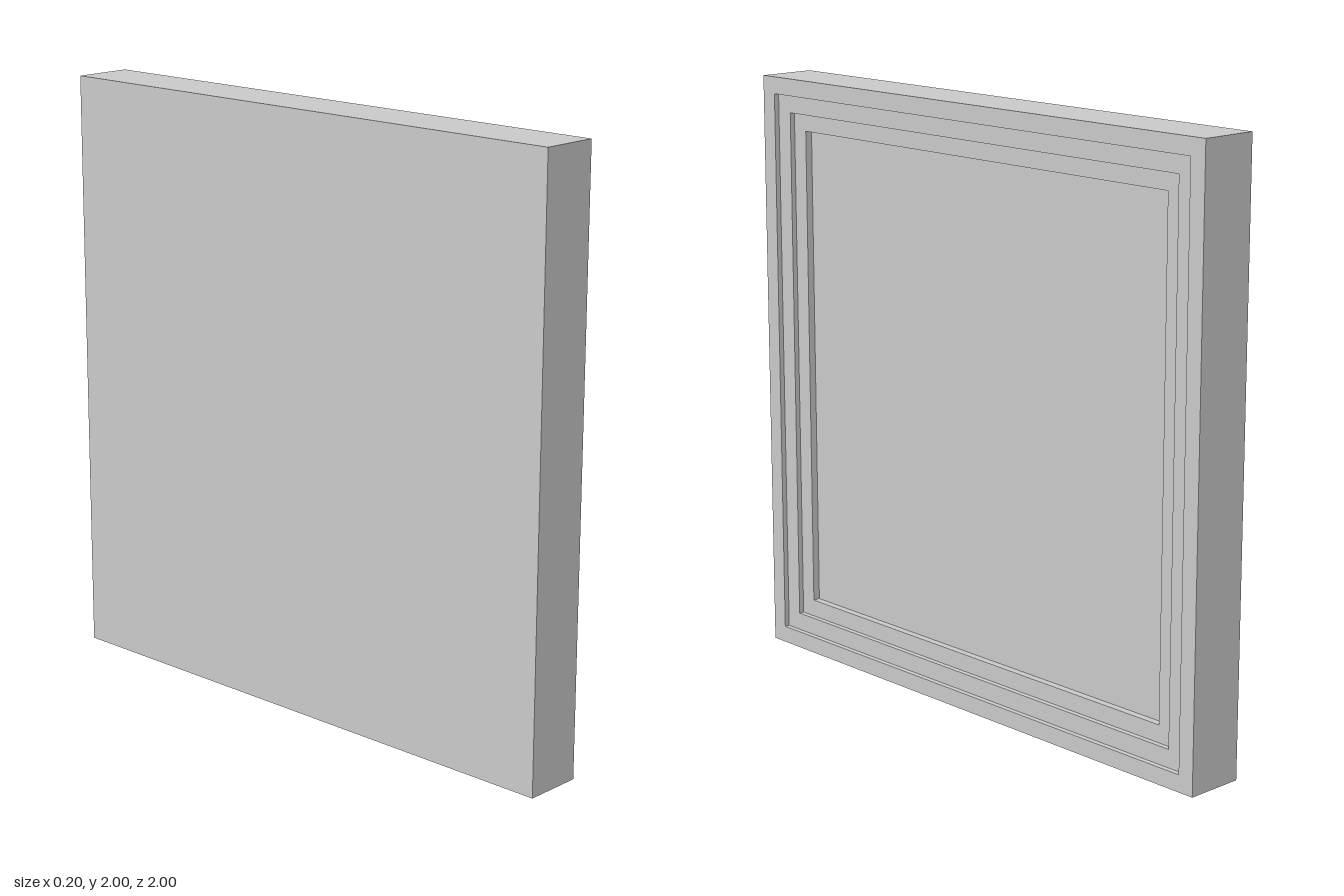
import * as THREE from 'three';

export function createModel() {
  const group = new THREE.Group();
  const grey = new THREE.MeshStandardMaterial({ color: 0xcccccc });
  grey.name = 'plain grey';

  // Stepped square recess: half-width of each opening and depth of its floor
  const steps = [[0.943, 0.018], [0.883, 0.036], [0.825, 0.061]];
  const front = 0.1;

  // Half cross-section (half-width, thickness) from back centre to front centre
  const profile = [[0, -front], [1, -front], [1, front]];
  let level = front;
  for (const [half, depth] of steps) {
    profile.push([half, level], [half, front - depth]);
    level = front - depth;
  }
  profile.push([0, level]);

  // Four-sided lathe gives the square panel; the axis is then laid along x
  const points = profile.map(([r, h]) => new THREE.Vector2(r * Math.SQRT2, h));
  const geometry = new THREE.LatheGeometry(points, 4, Math.PI / 4).toNonIndexed();
  geometry.computeVertexNormals();
  geometry.rotateZ(-Math.PI / 2);
  geometry.translate(0, 1, 0);

  const panel = new THREE.Mesh(geometry, grey);
  panel.name = 'steppedPanel';
  group.add(panel);
  return group;
}
